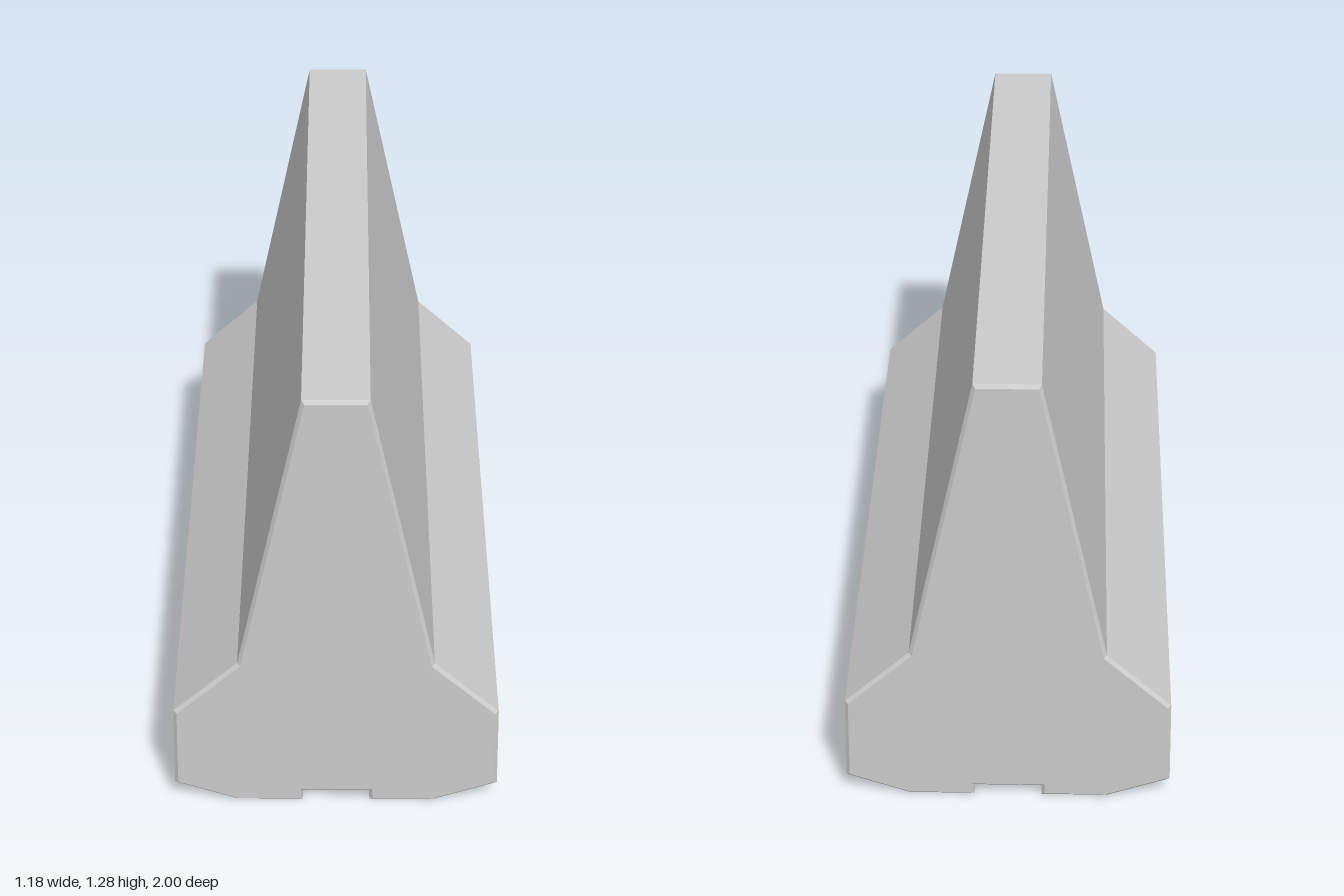
import * as THREE from 'three';
import { toCreasedNormals } from 'three/addons/utils/BufferGeometryUtils.js';

const LENGTH = 1.878;
const BEVEL = 0.009;
const YAW = -0.177; // the barrier stands slightly turned

export function createModel() {
  const group = new THREE.Group();
  group.name = 'roadBarrier';

  // Right half of the cross-section, from the drainage notch up to the top
  const half = [
    [0.09, 0.03], [0.09, 0], [0.265, 0], [0.433, 0.06],
    [0.43, 0.305], [0.258, 0.465], [0.085, 1.28],
  ];
  const mirrored = half.map(([x, y]) => [-x, y]).reverse();
  const shape = new THREE.Shape([...half, ...mirrored].map(([x, y]) => new THREE.Vector2(x, y)));

  // Long body with small chamfers round both end faces
  const body = new THREE.ExtrudeGeometry(shape, {
    depth: LENGTH - 2 * BEVEL,
    bevelEnabled: true,
    bevelSegments: 1,
    bevelSize: BEVEL,
    bevelOffset: -BEVEL,
    bevelThickness: BEVEL,
  });
  body.translate(0, 0, -LENGTH / 2 + BEVEL);

  // Soft shading under the base, crisp edges elsewhere
  const mesh = new THREE.Mesh(
    toCreasedNormals(body, 0.42),
    new THREE.MeshStandardMaterial({ color: 0xcccccc }),
  );
  mesh.name = 'barrierBody';
  mesh.rotation.y = YAW;
  group.add(mesh);
  return group;
}
